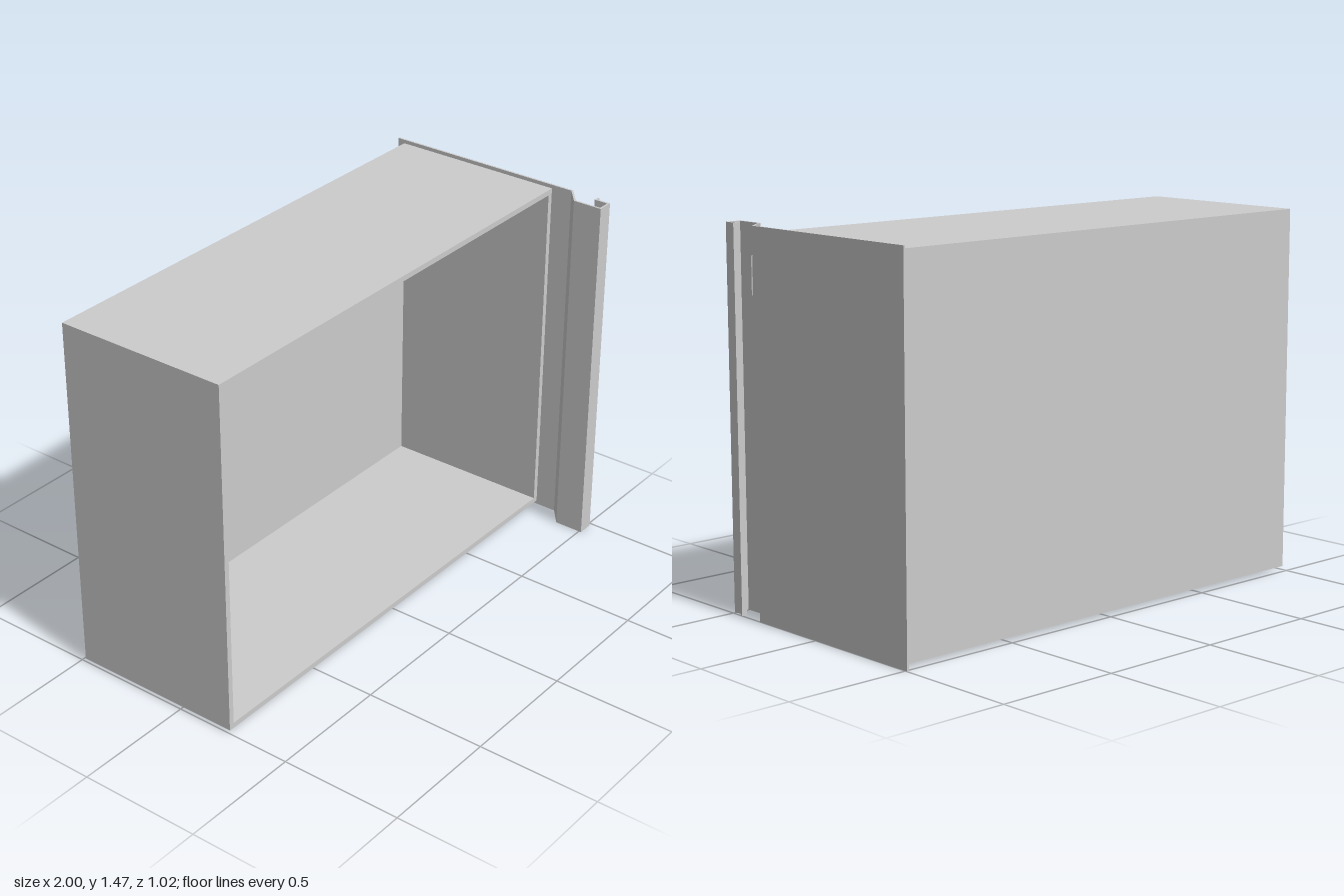
import * as THREE from 'three';

const material = new THREE.MeshStandardMaterial({ color: 0xcccccc, flatShading: true });

function addMesh(parent, name, geometry, x = 0, y = 0, z = 0) {
  const mesh = new THREE.Mesh(geometry, material);
  mesh.name = name;
  mesh.position.set(x, y, z);
  parent.add(mesh);
  return mesh;
}

// Outline of a bent sheet: the path offset to both sides with mitred corners.
function sheetShape(path, thickness) {
  const pts = path.map(([x, z]) => new THREE.Vector2(x, -z));
  const normal = (a, b) => new THREE.Vector2(a.y - b.y, b.x - a.x).normalize();
  const side = (d) => pts.map((p, i) => {
    const n1 = normal(pts[Math.max(i - 1, 0)], pts[Math.max(i, 1)]);
    const last = pts.length - 1;
    const n2 = normal(pts[Math.min(i, last - 1)], pts[Math.min(i + 1, last)]);
    const m = n1.clone().add(n2).normalize();
    return p.clone().addScaledVector(m, d / m.dot(n1));
  });
  return new THREE.Shape([...side(thickness / 2), ...side(-thickness / 2).reverse()]);
}

export function createModel() {
  const group = new THREE.Group();

  // Open-fronted case
  const wall = 0.022, back = -0.48, front = 0.24;
  const left = -1, right = 0.992, bottom = 0.015, top = 1.455;
  const corners = (inset) => [
    new THREE.Vector2(left + inset, bottom + inset),
    new THREE.Vector2(right - inset, bottom + inset),
    new THREE.Vector2(right - inset, top - inset),
    new THREE.Vector2(left + inset, top - inset),
  ];
  const rim = new THREE.Shape(corners(0));
  rim.holes.push(new THREE.Path(corners(wall)));
  const box = new THREE.Group();
  box.name = 'case';
  group.add(box);
  addMesh(box, 'caseWalls',
    new THREE.ExtrudeGeometry(rim, { depth: front - back, bevelEnabled: false }), 0, 0, back);
  addMesh(box, 'backPanel',
    new THREE.BoxGeometry(right - left - 2 * wall, top - bottom - 2 * wall, wall),
    (left + right) / 2, (bottom + top) / 2, back + wall / 2);

  // Side sheet folded into a hooked channel at its front edge
  const height = 1.47, sheet = 0.008;
  const path = [
    [0.996, -0.51], [0.996, 0.331], [0.924, 0.39], [0.924, 0.506],
    [0.982, 0.506], [0.982, 0.449], [1, 0.449],
  ];
  const bracket = new THREE.ExtrudeGeometry(sheetShape(path, sheet), { depth: height, bevelEnabled: false });
  bracket.rotateX(-Math.PI / 2);
  addMesh(group, 'sidePlate', bracket);

  // Small label plate on the slanted fold
  const plate = addMesh(group, 'labelPlate', new THREE.BoxGeometry(0.072, 0.145, sheet), 0.965, 1.288, 0.3667);
  plate.rotation.y = Math.atan2(0.059, 0.072);

  return group;
}
